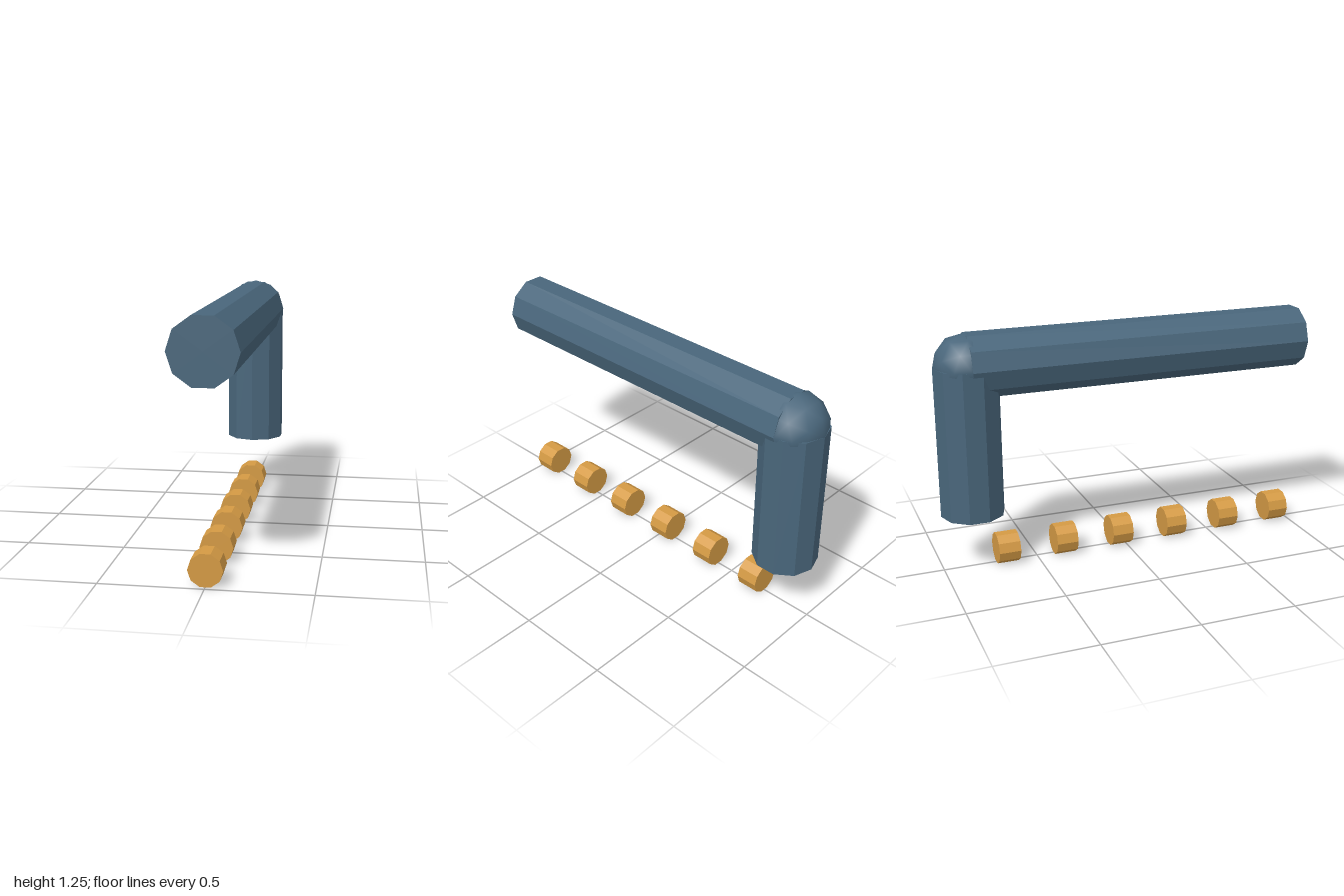
import * as THREE from 'three';

const SIDES = 10;

export function createModel() {
  const model = new THREE.Group();
  const slate = new THREE.MeshStandardMaterial({ color: 0x49667b });
  slate.name = 'slate blue';
  const amber = new THREE.MeshStandardMaterial({ color: 0xd49a44 });
  amber.name = 'amber';

  const add = (name, geometry, material, x, y, z) => {
    const mesh = new THREE.Mesh(geometry.toNonIndexed(), material);
    mesh.geometry.computeVertexNormals(); // faceted
    mesh.name = name;
    mesh.position.set(x, y, z);
    model.add(mesh);
  };

  // Faceted rod lying along z, with corners at its left and right
  const rodZ = (radius, length) =>
    new THREE.CylinderGeometry(radius, radius, length, SIDES, 1, false, Math.PI / 2)
      .rotateX(Math.PI / 2);

  const R = 0.166, axisY = 1.08, elbowZ = -0.834;

  // Long arm from the elbow to the front
  add('horizontalPipe', rodZ(R, 1 - elbowZ), slate, 0, axisY, (1 + elbowZ) / 2);

  // Upright hanging below the elbow
  const bottom = 0.3;
  add('verticalPipe', new THREE.CylinderGeometry(R, R, axisY - bottom, SIDES),
    slate, 0, (axisY + bottom) / 2, elbowZ);

  // Faceted ball closing the corner
  const ball = new THREE.Mesh(new THREE.IcosahedronGeometry(R, 1), slate);
  ball.name = 'elbow';
  ball.position.set(0, axisY, elbowZ);
  model.add(ball);

  // Row of short rods below the arm
  for (let i = 0; i < 6; i++) {
    add('rod' + (i + 1), rodZ(0.083, 0.115), amber, 0, 0.079, 0.918 - i * 0.3165);
  }
  return model;
}
